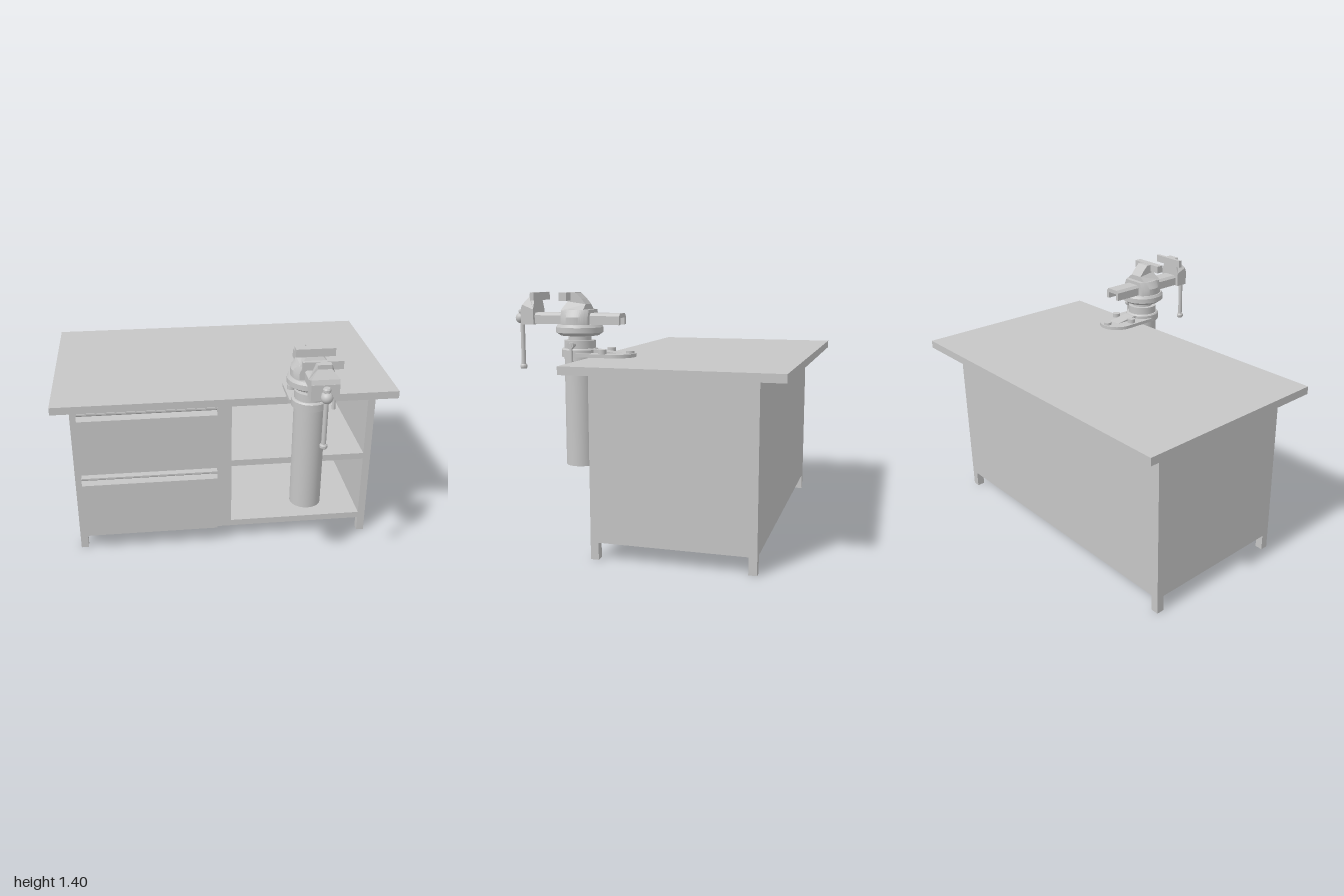
import * as THREE from 'three';
import { toCreasedNormals } from 'three/addons/utils/BufferGeometryUtils.js';

export function createModel() {
  const root = new THREE.Group();
  root.name = 'workbenchWithVise';
  const grey = new THREE.MeshStandardMaterial({ color: 0xc6c6c6 });
  grey.name = 'grey';

  const add = (name, geo, parent = root) => {
    const m = new THREE.Mesh(geo, grey);
    m.name = name;
    parent.add(m);
    return m;
  };
  // box from its low and high corners
  const box = (name, x0, x1, y0, y1, z0, z1, parent) =>
    add(name, new THREE.BoxGeometry(x1 - x0, y1 - y0, z1 - z0), parent)
      .position.set((x0 + x1) / 2, (y0 + y1) / 2, (z0 + z1) / 2);
  const shapeOf = pts => new THREE.Shape(pts.map(p => new THREE.Vector2(p[0], p[1])));
  // side profile of (z, y) points, extruded across x about x = 0
  const sideExtrude = (pts, width) =>
    new THREE.ExtrudeGeometry(shapeOf(pts), { depth: width, bevelEnabled: false })
      .translate(0, 0, -width / 2).rotateY(-Math.PI / 2);
  // plan outline of (x, z) points, extruded from y0 up to y1
  const planExtrude = (shape, y0, y1, steps = 1) =>
    new THREE.ExtrudeGeometry(shape, { depth: y1 - y0, bevelEnabled: false, steps, curveSegments: 24 })
      .rotateX(Math.PI / 2).translate(0, y1, 0);
  // scale x by a factor depending on y
  const taper = (geo, f) => {
    const p = geo.attributes.position;
    for (let i = 0; i < p.count; i++) p.setX(i, p.getX(i) * f(p.getY(i)));
    geo.computeVertexNormals();
    return geo;
  };
  const lathe = pts => toCreasedNormals(
    new THREE.LatheGeometry(pts.map(p => new THREE.Vector2(p[0], p[1])), 40), 0.5);

  // ---- bench ----
  const bench = new THREE.Group();
  bench.name = 'bench';
  root.add(bench);
  box('tableTop', -1, 1, 1, 1.045, -0.84, 0.335, bench);
  box('drawerCase', -0.905, 0.04, 0.095, 1, -0.695, 0.205, bench);
  box('rightSide', 0.86, 0.905, 0.095, 1, -0.695, 0.205, bench);
  box('backPanel', 0.04, 0.86, 0.095, 1, -0.695, -0.65, bench);
  for (const [name, y0, y1] of [['floorPanel', 0.095, 0.135], ['shelf', 0.53, 0.57], ['topRail', 0.955, 1]])
    box(name, 0.04, 0.86, y0, y1, -0.65, 0.205, bench);
  for (const x of [-0.905, 0.86])
    for (const z of [-0.695, 0.16]) box('leg', x, x + 0.045, 0, 0.095, z, z + 0.045, bench);

  // drawer fronts with a finger groove under the top lip
  for (const [y0, y1] of [[0.55, 0.955], [0.115, 0.525]]) {
    const profile = [[0.205, y0], [0.25, y0], [0.25, y1 - 0.05], [0.232, y1 - 0.024],
      [0.236, y1 - 0.016], [0.25, y1 - 0.01], [0.25, y1], [0.205, y1]];
    add('drawerFront', sideExtrude(profile, 0.815), bench).position.x = -0.4575;
  }

  // ---- vise, built around x = 0 ----
  const vise = new THREE.Group();
  vise.name = 'vise';
  vise.position.x = 0.45;
  root.add(vise);
  const axisZ = 0.435;

  // lift tube, collars, neck and swivel ring
  add('liftTube', new THREE.CylinderGeometry(0.09, 0.09, 0.63, 40), vise).position.set(0, 0.725, axisZ);
  add('collars', lathe([[0, 1.04], [0.105, 1.04], [0.105, 1.082], [0.098, 1.09], [0.09, 1.09],
    [0.09, 1.135], [0.065, 1.135], [0.065, 1.165], [0, 1.165]]), vise).position.z = axisZ;
  add('swivelRing', lathe([[0, 1.163], [0.11, 1.163], [0.128, 1.176], [0.135, 1.18], [0.135, 1.21],
    [0.125, 1.226], [0, 1.226]]), vise).position.z = axisZ;

  // mounting plate with rounded end, rib and bolts
  const plate = new THREE.Shape();
  plate.moveTo(0.112, 0.42);
  plate.lineTo(-0.112, 0.42);
  plate.lineTo(-0.112, 0.212);
  plate.absarc(0, 0.212, 0.112, Math.PI, Math.PI * 2, false);
  plate.closePath();
  add('mountPlate', toCreasedNormals(planExtrude(plate, 1.045, 1.065), 0.5), vise);
  add('plateRib', sideExtrude([[0.16, 1.06], [0.4, 1.06], [0.4, 1.085], [0.32, 1.083], [0.2, 1.067]], 0.08), vise);
  for (const [x, z, top] of [[0, 0.13, 1.08], [-0.075, 0.27, 1.09], [0.075, 0.27, 1.09]]) {
    const h = top - 1.06;
    add('boltHead', new THREE.CylinderGeometry(0.024, 0.024, h, 20), vise).position.set(x, top - h / 2, z);
    if (x) add('boltNut', new THREE.CylinderGeometry(0.026, 0.026, 0.016, 6), vise).position.set(x, 0.992, z);
  }

  // body: round block cut flat front and back, narrowing upwards
  const a = Math.asin(0.083 / 0.118);
  const bodyShape = new THREE.Shape();
  bodyShape.absarc(0, axisZ, 0.118, -a, a, false);
  bodyShape.absarc(0, axisZ, 0.118, Math.PI - a, Math.PI + a, false);
  bodyShape.closePath();
  add('viseBody', toCreasedNormals(
    taper(planExtrude(bodyShape, 1.225, 1.31, 2), y => y > 1.29 ? 0.78 : 1), 0.5), vise);

  // slide bar: channel with chamfered top edges, open below
  const bar = shapeOf([[-0.055, 1.226], [-0.035, 1.226], [-0.035, 1.265], [0.035, 1.265], [0.035, 1.226],
    [0.055, 1.226], [0.055, 1.275], [0.04, 1.29], [-0.04, 1.29], [-0.055, 1.275]]);
  add('slideBar', new THREE.ExtrudeGeometry(bar, { depth: 0.52, bevelEnabled: false }).translate(0, 0, 0.175), vise);

  // jaws: tapered webs carrying wide grip plates
  const jawTaper = y => y > 1.34 ? 0.5 : 1;
  add('fixedJawWeb', taper(sideExtrude([[0.515, 1.305], [0.49, 1.355], [0.48, 1.404], [0.44, 1.404],
    [0.405, 1.37], [0.38, 1.34], [0.38, 1.305]], 0.17), jawTaper), vise);
  box('fixedJawGrip', -0.108, 0.108, 1.36, 1.405, 0.47, 0.515, vise);
  box('movingJawBlock', -0.075, 0.075, 1.222, 1.31, 0.69, 0.768, vise);
  add('movingJawWeb', taper(sideExtrude([[0.69, 1.308], [0.768, 1.308], [0.758, 1.335], [0.728, 1.38],
    [0.728, 1.404], [0.69, 1.404]], 0.15), jawTaper), vise);
  box('movingJawGrip', -0.108, 0.108, 1.36, 1.405, 0.668, 0.69, vise);

  // screw and its sliding handle
  add('screw', new THREE.CylinderGeometry(0.022, 0.022, 0.06, 24).rotateX(Math.PI / 2), vise)
    .position.set(0, 1.255, 0.785);
  add('screwHead', new THREE.SphereGeometry(0.032, 24, 16), vise).position.set(0, 1.255, 0.803);
  add('handleRod', new THREE.CylinderGeometry(0.013, 0.013, 0.32, 20), vise).position.set(0, 1.13, 0.795);
  for (const y of [0.972, 1.293])
    add('handleCap', lathe([[0, -0.014], [0.016, -0.014], [0.021, -0.006], [0.021, 0.006],
      [0.016, 0.014], [0, 0.014]]), vise).position.set(0, y, 0.795);

  // clamp lever on the left of the collar
  add('clampPin', new THREE.CylinderGeometry(0.012, 0.012, 0.08, 16).rotateZ(Math.PI / 2), vise)
    .position.set(0.115, 1.113, axisZ);
  add('clampKnob', new THREE.CylinderGeometry(0.02, 0.02, 0.026, 20).rotateZ(Math.PI / 2), vise)
    .position.set(0.138, 1.113, axisZ);
  add('clampLever', new THREE.CylinderGeometry(0.008, 0.011, 0.105, 16), vise)
    .position.set(0.138, 1.055, axisZ - 0.003);
  return root;
}
